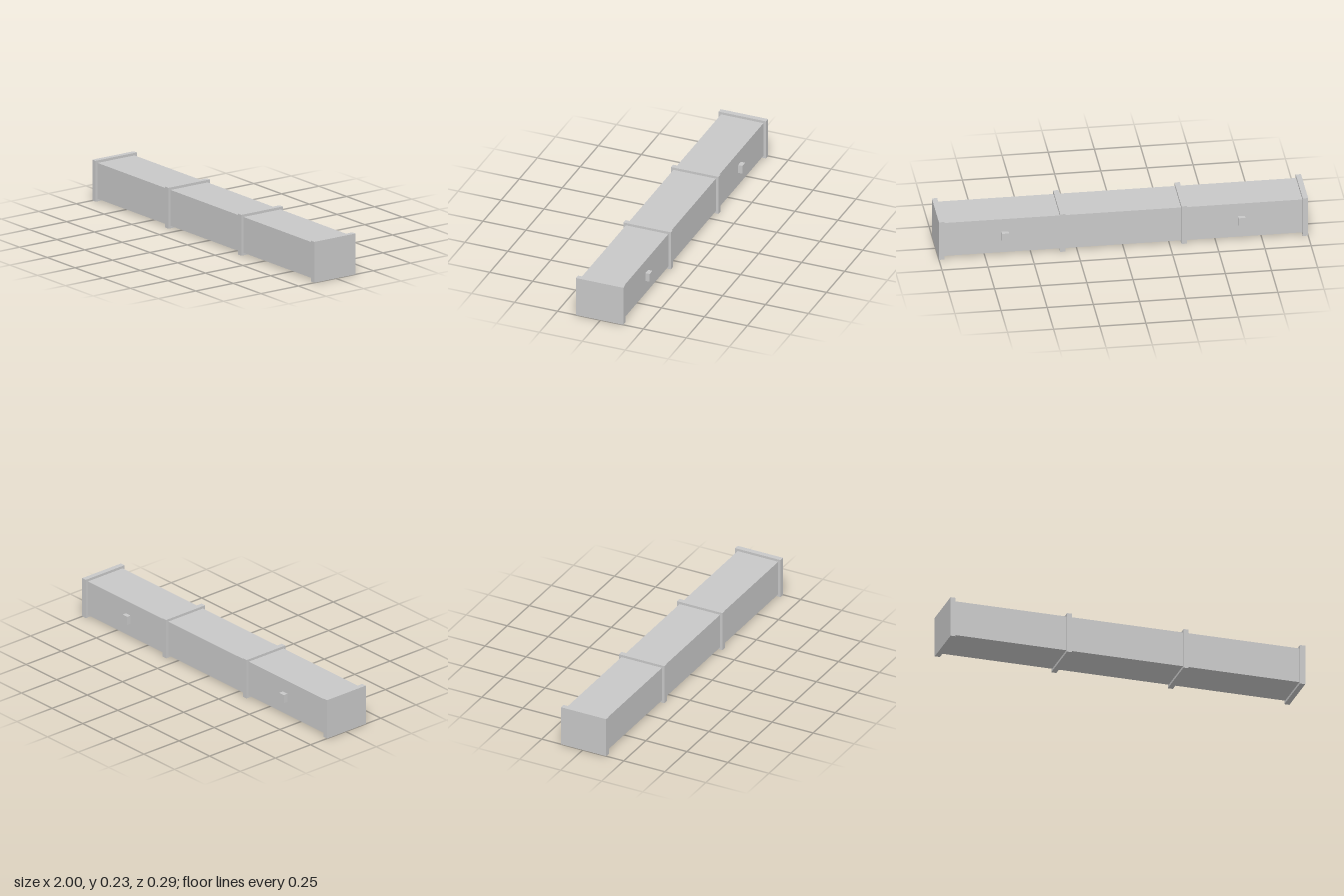
import * as THREE from 'three';

export function createModel() {
  const group = new THREE.Group();
  const grey = new THREE.MeshStandardMaterial({ color: 0xc8c8c8 });
  grey.name = 'lightGrey';

  // Box given by its minimum and maximum corners
  function box(name, [x0, y0, z0], [x1, y1, z1]) {
    const mesh = new THREE.Mesh(new THREE.BoxGeometry(x1 - x0, y1 - y0, z1 - z0), grey);
    mesh.position.set((x0 + x1) / 2, (y0 + y1) / 2, (z0 + z1) / 2);
    mesh.name = name;
    group.add(mesh);
  }

  // Long rectangular duct
  box('duct', [-0.99, 0.014, -0.118], [0.99, 0.214, 0.129]);

  // Four evenly spaced flanges, flush with both ends
  const half = 0.0145;
  for (let i = 0; i < 4; i++) {
    const x = (1 - half) * (-1 + (2 * i) / 3);
    box('flange' + (i + 1), [x - half, 0, -0.133], [x + half, 0.228, 0.143]);
  }

  // Small mounting blocks on the back
  for (const [name, x] of [['leftBlock', 0.64], ['rightBlock', -0.64]]) {
    box(name, [x - 0.019, 0.09, -0.143], [x + 0.019, 0.138, -0.115]);
  }

  return group;
}
